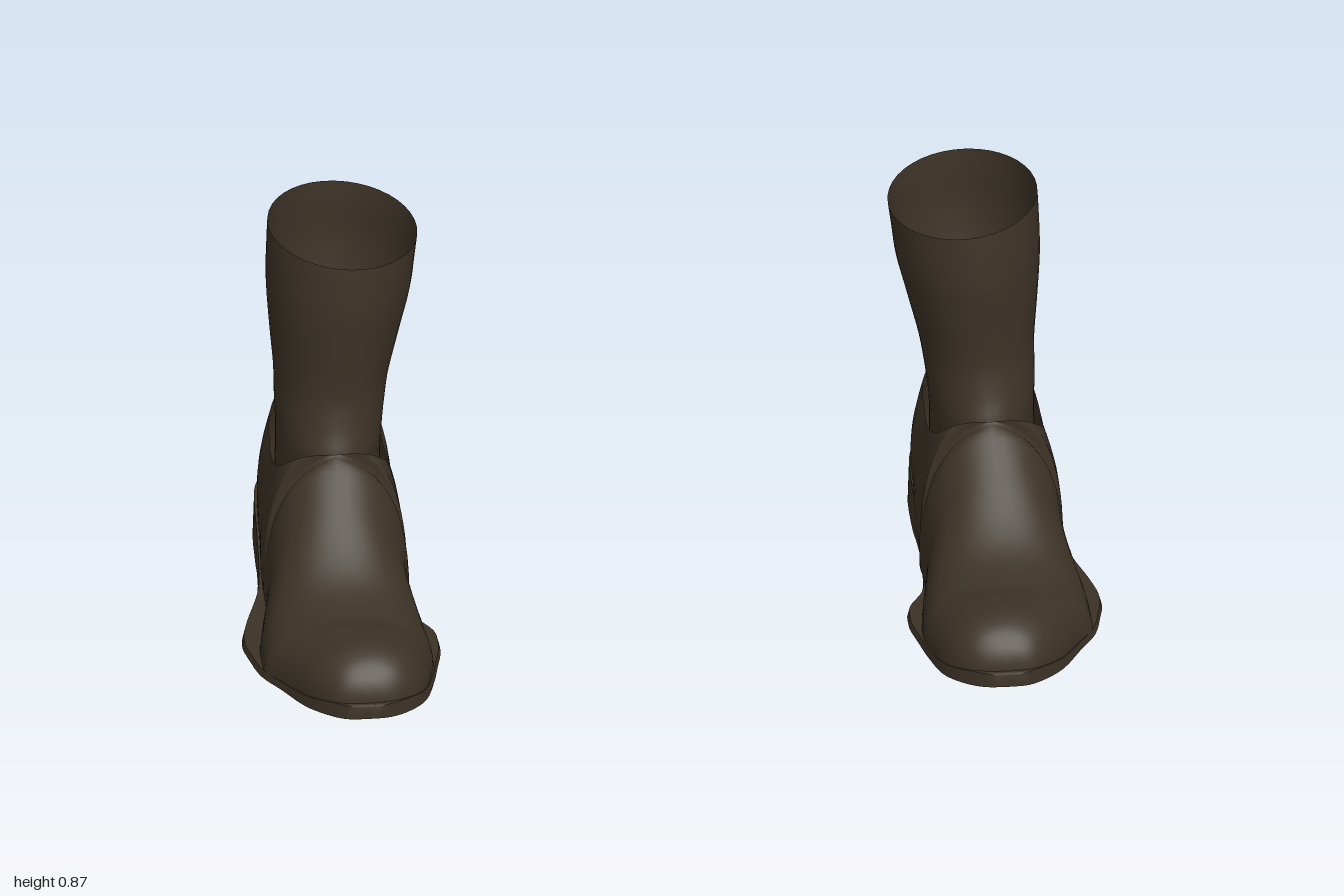
import * as THREE from 'three';
import { mergeVertices, toCreasedNormals } from 'three/addons/utils/BufferGeometryUtils.js';

// Smoothly resample a short table of stations, without overshooting.
function resample(rows, n) {
  const out = [];
  for (let i = 0; i < rows.length - 1; i++) {
    const p = rows[Math.max(0, i - 1)], a = rows[i], b = rows[i + 1];
    const q = rows[Math.min(rows.length - 1, i + 2)];
    for (let k = 0; k < n; k++) {
      const t = k / n;
      out.push(a.map((v, c) => {
        const m0 = (b[c] - p[c]) / 2, m1 = (q[c] - v) / 2;
        const w = v + m0 * t + (3 * (b[c] - v) - 2 * m0 - m1) * t * t + (2 * (v - b[c]) + m0 + m1) * t * t * t;
        return Math.min(Math.max(w, Math.min(v, b[c])), Math.max(v, b[c]));
      }));
    }
  }
  out.push(rows[rows.length - 1]);
  return out;
}

// Skin over cross-sections; side = -1 mirrors it, skip leaves one column open.
function skin(sections, side, closed, skip = -1) {
  const n = sections[0].length, pos = [], index = [];
  sections.forEach((sec) => sec.forEach(([x, y, z]) => pos.push(x * side, y, z)));
  for (let i = 0; i < sections.length - 1; i++) {
    for (let j = 0; j < (closed ? n : n - 1); j++) {
      if (j === skip) continue;
      const a = i * n + j, b = i * n + (j + 1) % n, c = a + n, d = b + n;
      if (side > 0) index.push(a, c, b, b, c, d);
      else index.push(a, b, c, b, d, c);
    }
  }
  const g = new THREE.BufferGeometry();
  g.setAttribute('position', new THREE.Float32BufferAttribute(pos, 3));
  g.setIndex(index);
  const merged = mergeVertices(g, 1e-5);
  merged.computeVertexNormals();
  return merged;
}

// Upper: z at base, z at top, inner x, outer x, collar half width, bulge, base y, top y
const UPPER = [
  [0.505, 0.49, 0.745, 0.745, 0, 1, 0.03, 0.09],
  [0.5, 0.48, 0.69, 0.8, 0, 1, 0.03, 0.105],
  [0.475, 0.45, 0.64, 0.84, 0, 1, 0.03, 0.135],
  [0.42, 0.4, 0.6, 0.885, 0, 1, 0.025, 0.155],
  [0.34, 0.33, 0.58, 0.93, 0, 1, 0.02, 0.155],
  [0.28, 0.28, 0.57, 0.965, 0, 1, 0.02, 0.15],
  [0.2, 0.2, 0.575, 0.965, 0, 0.97, 0.02, 0.175],
  [0.13, 0.13, 0.585, 0.955, 0, 0.97, 0.02, 0.22],
  [0.04, 0.04, 0.6, 0.935, 0, 1, 0.02, 0.3],
  [-0.03, -0.03, 0.595, 0.93, 0, 1.02, 0.02, 0.365],
  [-0.06, -0.06, 0.595, 0.93, 0, 1.03, 0.02, 0.39],
  [-0.07, -0.063, 0.597, 0.93, 0.07, 1.04, 0.02, 0.387],
  [-0.09, -0.078, 0.6, 0.93, 0.105, 1.04, 0.03, 0.367],
  [-0.13, -0.12, 0.6, 0.93, 0.125, 1.04, 0.04, 0.335],
  [-0.2, -0.2, 0.6, 0.925, 0.132, 1.04, 0.05, 0.3],
  [-0.3, -0.3, 0.605, 0.92, 0.13, 1.03, 0.08, 0.282],
  [-0.4, -0.38, 0.61, 0.91, 0.125, 1.03, 0.09, 0.32],
];
const HEEL_CUP = [
  [-0.46, -0.43, 0.645, 0.88, 0.1, 1.02, 0.09, 0.345],
  [-0.487, -0.457, 0.69, 0.83, 0.055, 1.02, 0.09, 0.352],
  [-0.493, -0.467, 0.76, 0.76, 0, 1, 0.09, 0.355],
];

function upperGeometry(side) {
  const steps = 12;
  const sections = resample([...UPPER, ...HEEL_CUP], 4).map(([zb, zc, xi, xo, wc, f, y0, h]) => {
    const c = (xi + xo) / 2, w = (xo - xi) / 2, wm = w * f, H = h - y0;
    const k = THREE.MathUtils.clamp((-0.04 - zb) / 0.06, 0, 1);
    const back = 0.035 * THREE.MathUtils.smoothstep(-zb, 0.38, 0.49);
    const curve = new THREE.CubicBezierCurve3(
      new THREE.Vector3(w, y0, zb),
      new THREE.Vector3(wm, y0 + (0.65 - 0.2 * k) * H, zb - back),
      new THREE.Vector3(wc + (wm - wc) * 0.62, h - 0.3 * H * k, zc - back * 0.9),
      new THREE.Vector3(wc, h, zc));
    const half = curve.getPoints(steps);
    return [...half.map((p) => [c + p.x, p.y, p.z]),
      ...half.reverse().map((p) => [c - p.x, p.y, p.z])];
  });
  return skin(sections, side, false, steps);
}

// Sole and heel: z, inner x, outer x, bottom y, top y
const SOLE = [
  [0.518, 0.745, 0.745, 0.016, 0.04],
  [0.51, 0.69, 0.795, 0.014, 0.05],
  [0.48, 0.64, 0.84, 0.012, 0.047],
  [0.43, 0.6, 0.885, 0.009, 0.036],
  [0.35, 0.575, 0.93, 0.007, 0.026],
  [0.28, 0.56, 0.97, 0.005, 0.022],
  [0.2, 0.545, 0.99, 0.003, 0.019],
  [0.13, 0.55, 1, 0.001, 0.018],
  [0.05, 0.59, 0.985, 0.002, 0.019],
  [-0.08, 0.602, 0.945, 0.008, 0.028],
  [-0.17, 0.6, 0.935, 0.012, 0.06],
  [-0.25, 0.597, 0.932, 0.007, 0.093],
  [-0.4, 0.602, 0.922, 0.006, 0.11],
  [-0.47, 0.635, 0.89, 0.01, 0.114],
  [-0.505, 0.69, 0.835, 0.014, 0.115],
  [-0.515, 0.762, 0.762, 0.016, 0.115],
];

function soleGeometry(side) {
  const sections = resample(SOLE, 4).map(([z, xi, xo, yb, yt]) => {
    const c = (xi + xo) / 2, w = (xo - xi) / 2;
    // shallow rippled hollow under the tread
    const hollow = yb + (yt - yb) * (0.3 + 0.2 * Math.sin(z * 45)) * Math.min(1, w / 0.15);
    return [[c + w, yb, z], [c + w * 0.98, yt, z], [c - w * 0.98, yt, z],
      [c - w, yb, z], [c - w * 0.8, yb, z], [c - w * 0.45, hollow, z],
      [c + w * 0.45, hollow, z], [c + w * 0.8, yb, z]];
  });
  return toCreasedNormals(skin(sections, side, true), 0.7);
}

// Shaft: y, inner x, outer x, front z, back z
const SHAFT = [
  [0.18, 0.64, 0.885, -0.09, -0.455],
  [0.3, 0.64, 0.882, -0.085, -0.458],
  [0.36, 0.637, 0.882, -0.085, -0.457],
  [0.42, 0.63, 0.884, -0.108, -0.454],
  [0.5, 0.617, 0.885, -0.128, -0.463],
  [0.6, 0.592, 0.893, -0.126, -0.484],
  [0.71, 0.566, 0.9, -0.122, -0.505],
  [0.8, 0.555, 0.898, -0.127, -0.508],
  [0.855, 0.548, 0.895, -0.133, -0.512],
];

function shaftGeometry(side) {
  const sections = resample(SHAFT, 4).map(([y, xi, xo, zf, zb]) => {
    const lift = THREE.MathUtils.smoothstep(y, 0.6, 0.855);
    return Array.from({ length: 40 }, (_, i) => {
      const t = (i / 40) * Math.PI * 2, cx = Math.cos(t), cz = Math.sin(t);
      return [(xi + xo) / 2 + cx * (xo - xi) / 2,
        y + lift * (0.014 * cx - 0.01 * cz - 0.004),
        (zf + zb) / 2 + cz * (zf - zb) / 2];
    });
  });
  return skin(sections, side, true);
}

export function createModel() {
  const leather = new THREE.MeshStandardMaterial({ color: 0x3c3226, side: THREE.DoubleSide });
  leather.name = 'darkBrownLeather';
  const model = new THREE.Group();
  model.name = 'boots';
  for (const [name, side] of [['leftBoot', 1], ['rightBoot', -1]]) {
    const boot = new THREE.Group();
    boot.name = name;
    const parts = { upper: upperGeometry, sole: soleGeometry, shaft: shaftGeometry };
    for (const [part, build] of Object.entries(parts)) {
      const mesh = new THREE.Mesh(build(side), leather);
      mesh.name = part;
      boot.add(mesh);
    }
    model.add(boot);
  }
  return model;
}
